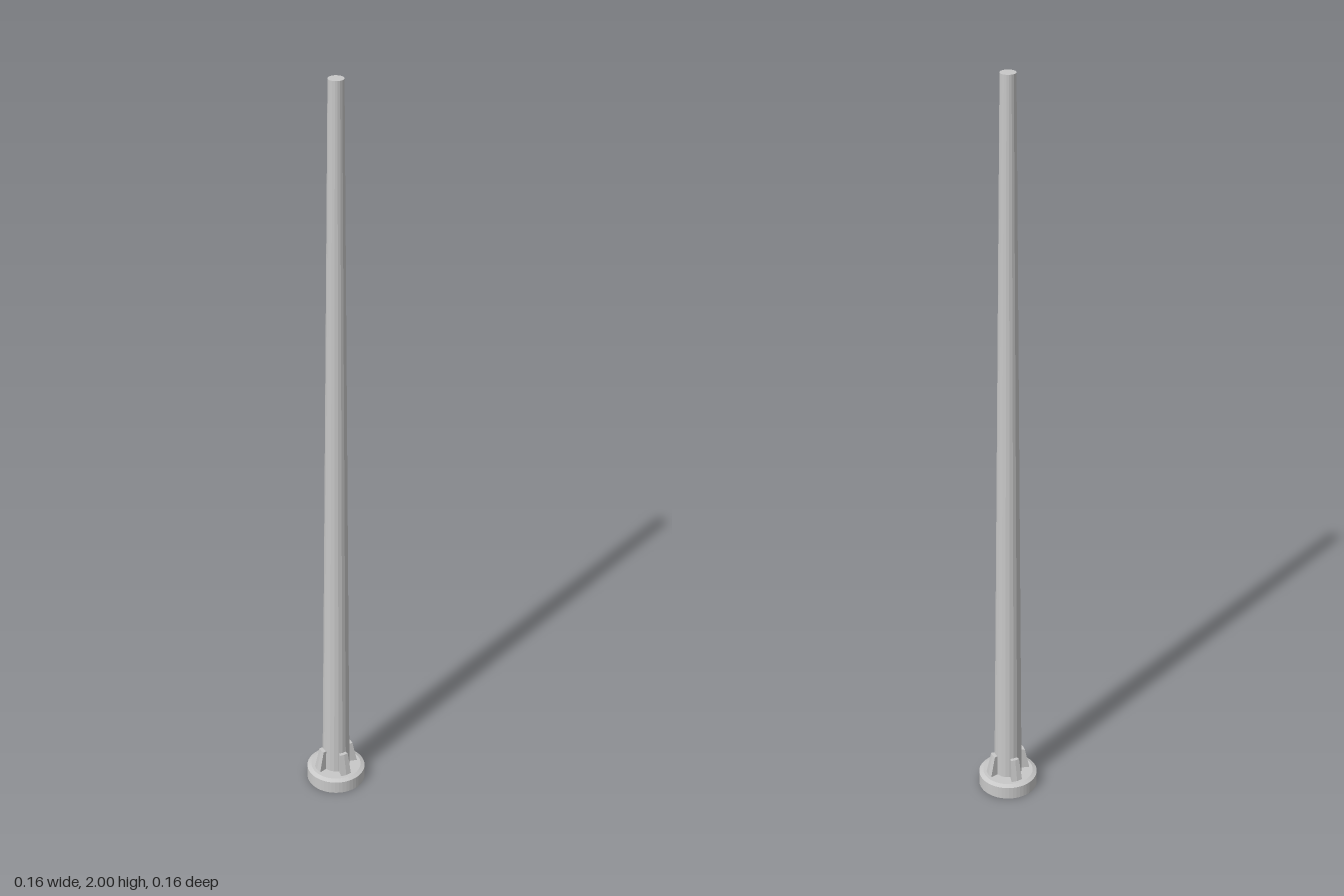
import * as THREE from 'three';

export function createModel() {
  const model = new THREE.Group();
  const metal = new THREE.MeshStandardMaterial({ color: 0xc8c8c8, flatShading: true });
  metal.name = 'light grey metal';

  const add = (name, geometry) => {
    const mesh = new THREE.Mesh(geometry, metal);
    mesh.name = name;
    model.add(mesh);
    return mesh;
  };

  // Round base with a shallow bevel on its upper rim
  const profile = [[0, 0], [0.078, 0], [0.078, 0.035], [0.067, 0.04], [0, 0.04]];
  add('base', new THREE.LatheGeometry(profile.map(([x, y]) => new THREE.Vector2(x, y)), 48));

  // Tall tapered pole standing on the base
  add('pole', new THREE.CylinderGeometry(0.0195, 0.037, 1.96, 20)).position.y = 1.02;

  // Wedge-shaped rib: a box bent into a 30 degree sector with a sloping outer face
  const rib = new THREE.BoxGeometry(1, 1, 1, 2, 1, 1);
  const p = rib.attributes.position;
  for (let i = 0; i < p.count; i++) {
    const high = p.getY(i) > 0;
    const radius = p.getZ(i) < 0 ? 0.032 : high ? 0.046 : 0.059;
    const angle = p.getX(i) * Math.PI / 6;
    p.setXYZ(i, radius * Math.sin(angle), high ? 0.1 : 0.039, radius * Math.cos(angle));
  }
  rib.computeVertexNormals();

  // Four ribs around the foot of the pole
  ['front', 'left', 'back', 'right'].forEach((side, i) => {
    add(side + 'Rib', rib).rotation.y = i * Math.PI / 2;
  });

  return model;
}
